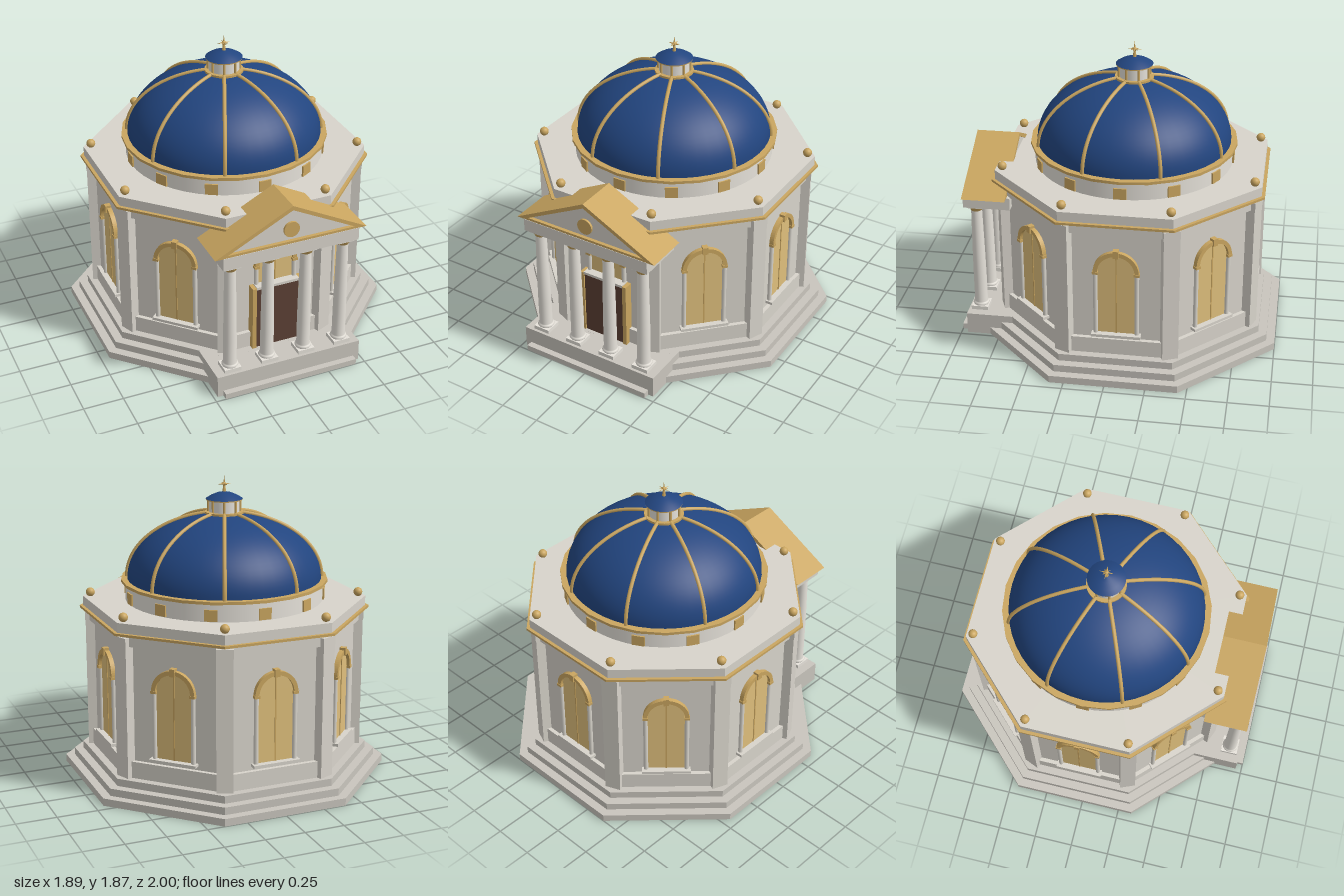
import * as THREE from 'three';
import { toCreasedNormals } from 'three/addons/utils/BufferGeometryUtils.js';

const mat = (name, color) => new THREE.MeshStandardMaterial({ name, color });
const CZ = -0.053; // centre of the octagonal hall
const WALL = 0.77; // wall apothem

export function createModel() {
  const stone = mat('stone', 0xd8d4cb);
  const paleStone = mat('paleStone', 0xe6e2da);
  const stepStone = mat('stepStone', 0xc9c5bd);
  const gold = mat('gold', 0xcaa660);
  const glass = mat('amberGlass', 0xdfbf7c);
  const blue = mat('domeBlue', 0x22457f);
  const wood = mat('doorWood', 0x5c4034);

  const model = new THREE.Group();
  model.name = 'domedHall';
  const group = (name, parent) => {
    const g = new THREE.Group();
    g.name = name;
    parent.add(g);
    return g;
  };
  const add = (parent, name, geo, material, x = 0, y = 0, z = 0) => {
    const m = new THREE.Mesh(geo, material);
    m.name = name;
    m.position.set(x, y, z);
    parent.add(m);
    return m;
  };
  const box = (parent, name, material, w, y0, y1, d, x, z) =>
    add(parent, name, new THREE.BoxGeometry(w, y1 - y0, d), material, x, (y0 + y1) / 2, z);
  const round = (parent, name, material, r0, r1, y0, y1, x = 0, z = 0, n = 32) =>
    add(parent, name, new THREE.CylinderGeometry(r1, r0, y1 - y0, n), material, x, (y0 + y1) / 2, z);
  const octagon = (parent, name, material, apothem, y0, y1) => {
    const r = apothem / Math.cos(Math.PI / 8);
    const g = new THREE.CylinderGeometry(r, r, y1 - y0, 8).rotateY(Math.PI / 8);
    return add(parent, name, toCreasedNormals(g, 0.5), material, 0, (y0 + y1) / 2, 0);
  };

  const hall = group('hall', model);
  hall.position.z = CZ;

  // Stepped base, walls and entablature
  [0.947, 0.895, 0.842].forEach((a, i) =>
    octagon(hall, 'baseStep', stepStone, a, i * 0.0467, (i + 1) * 0.0467));
  octagon(hall, 'walls', stone, WALL, 0.14, 0.97);
  octagon(hall, 'frieze', stone, 0.8, 0.965, 1.035);
  octagon(hall, 'cornice', gold, 0.84, 1.035, 1.05);
  octagon(hall, 'attic', stone, 0.82, 1.05, 1.11);

  // Arched window pane
  const paneShape = new THREE.Shape();
  paneShape.moveTo(-0.112, 0.285);
  paneShape.lineTo(0.112, 0.285);
  paneShape.lineTo(0.112, 0.71);
  paneShape.absarc(0, 0.71, 0.112, 0, Math.PI, false);
  paneShape.closePath();
  const paneGeo = new THREE.ExtrudeGeometry(paneShape, { depth: 0.008, bevelEnabled: false, curveSegments: 16 });
  // Flat arch moulding
  const archShape = new THREE.Shape();
  archShape.absarc(0, 0.71, 0.138, 0, Math.PI, false);
  archShape.absarc(0, 0.71, 0.112, Math.PI, 0, true);
  archShape.closePath();
  const archGeo = new THREE.ExtrudeGeometry(archShape, { depth: 0.03, bevelEnabled: false, curveSegments: 16 });

  for (let i = 0; i < 8; i++) {
    // One side of the hall, with its plinth and window
    const side = group('wallSide', hall);
    side.rotation.y = i * Math.PI / 4;
    box(side, 'plinth', stone, 0.66, 0.14, 0.245, 0.06, 0, WALL - 0.005);
    add(side, 'windowPane', paneGeo, glass, 0, 0, WALL);
    box(side, 'windowMullion', gold, 0.008, 0.285, 0.815, 0.006, 0, WALL + 0.009);
    add(side, 'windowArch', archGeo, gold, 0, 0, WALL - 0.002);
    box(side, 'keystone', gold, 0.034, 0.815, 0.862, 0.042, 0, WALL + 0.016);
    for (const s of [-1, 1]) {
      round(side, 'windowJamb', stone, 0.014, 0.014, 0.285, 0.695, s * 0.125, WALL + 0.012, 12);
      box(side, 'jambCapital', gold, 0.034, 0.695, 0.712, 0.034, s * 0.125, WALL + 0.014);
    }
    box(side, 'windowSill', stone, 0.3, 0.268, 0.286, 0.05, 0, WALL + 0.02);

    // Corner pilaster and roof ball
    const corner = group('corner', hall);
    corner.rotation.y = (i + 0.5) * Math.PI / 4;
    box(corner, 'pilaster', stone, 0.1, 0.14, 0.98, 0.1, 0, 0.82);
    box(corner, 'pilasterCapital', stone, 0.104, 0.965, 1.02, 0.1, 0, 0.823);
    add(corner, 'roofBall', new THREE.SphereGeometry(0.028, 16, 12), gold, 0, 1.135, 0.84);
  }

  // Drum with small windows
  round(hall, 'drum', paleStone, 0.62, 0.62, 1.11, 1.22, 0, 0, 48);
  round(hall, 'drumCornice', gold, 0.645, 0.645, 1.22, 1.238, 0, 0, 24);
  for (let i = 0; i < 12; i++) {
    const pivot = group('drumWindow', hall);
    pivot.rotation.y = i * Math.PI / 6;
    box(pivot, 'drumWindowPane', gold, 0.078, 1.115, 1.185, 0.02, 0, 0.618);
  }

  // Dome and ribs follow one elliptical profile
  const profile = (r, h) => Array.from({ length: 21 }, (_, i) => {
    const t = (i / 20) * 1.4;
    return new THREE.Vector2(r * Math.cos(t), 1.235 + h * Math.sin(t));
  });
  add(hall, 'dome', new THREE.LatheGeometry(profile(0.605, 0.41), 48), blue);
  const ribPath = new THREE.CatmullRomCurve3(
    profile(0.609, 0.414).map((p) => new THREE.Vector3(0, p.y, p.x)));
  const ribGeo = new THREE.TubeGeometry(ribPath, 28, 0.012, 8);
  for (let i = 0; i < 8; i++) {
    add(hall, 'domeRib', ribGeo, gold).rotation.y = (i + 0.5) * Math.PI / 4;
  }

  // Lantern
  const lantern = group('lantern', hall);
  round(lantern, 'lanternBase', gold, 0.12, 0.12, 1.632, 1.65);
  round(lantern, 'lanternDrum', paleStone, 0.095, 0.095, 1.65, 1.725);
  for (let i = 0; i < 8; i++) {
    const a = (i + 0.5) * Math.PI / 4;
    round(lantern, 'lanternPost', gold, 0.008, 0.008, 1.65, 1.725, 0.098 * Math.sin(a), 0.098 * Math.cos(a), 8);
  }
  round(lantern, 'lanternRing', gold, 0.113, 0.113, 1.722, 1.73);
  const cap = [[0.115, 1.729], [0.085, 1.748], [0.045, 1.765], [0, 1.775]];
  add(lantern, 'lanternCap', new THREE.LatheGeometry(cap.map(([x, y]) => new THREE.Vector2(x, y)), 32), blue);

  // Star finial: long upright and level spikes, short diagonal ones
  round(lantern, 'finialStem', gold, 0.012, 0.005, 1.77, 1.82, 0, 0, 10);
  const star = group('finialStar', lantern);
  star.position.y = 1.82;
  add(star, 'starCore', new THREE.SphereGeometry(0.013, 12, 8), gold);
  const spike = (len, rx, ry) => {
    const m = add(star, 'starSpike', new THREE.OctahedronGeometry(1), gold);
    m.scale.set(0.007, len, 0.007);
    m.rotation.set(rx, ry, 0, 'YXZ');
  };
  spike(0.052, 0, 0);
  for (let i = 0; i < 4; i++) spike(i % 2 ? 0.028 : 0.044, Math.PI / 2, i * Math.PI / 4);

  // Door in front of the lower part of the front window
  const door = group('door', model);
  const wallZ = WALL + CZ;
  box(door, 'doorLeaf', wood, 0.28, 0.14, 0.565, 0.04, 0, wallZ + 0.03);
  for (const s of [-1, 1]) box(door, 'doorFrame', gold, 0.026, 0.14, 0.575, 0.06, s * 0.153, wallZ + 0.03);
  box(door, 'doorLintel', stone, 0.28, 0.565, 0.582, 0.06, 0, wallZ + 0.03);

  // Porch floor and columns
  const porch = group('porch', model);
  box(porch, 'porchFloor', stepStone, 0.95, 0, 0.14, 0.3, 0, 0.81);
  box(porch, 'porchStep', stepStone, 0.876, 0, 0.036, 0.1, 0, 0.95);
  const shaft = [[0.047, 0.163], [0.052, 0.173], [0.047, 0.184], [0.041, 0.188], [0.041, 0.35],
    [0.039, 0.55], [0.034, 0.845]].map(([x, y]) => new THREE.Vector2(x, y));
  for (const x of [-0.365, -0.122, 0.122, 0.365]) {
    const column = group('column', porch);
    column.position.set(x, 0, 0.888);
    box(column, 'columnBase', paleStone, 0.108, 0.14, 0.165, 0.108, 0, 0);
    add(column, 'columnShaft', new THREE.LatheGeometry(shaft, 24), paleStone);
    round(column, 'columnCapital', gold, 0.036, 0.05, 0.845, 0.872, 0, 0, 24);
    box(column, 'columnAbacus', paleStone, 0.1, 0.872, 0.888, 0.1, 0, 0);
  }

  // Entablature and pediment
  box(porch, 'entablature', stone, 0.87, 0.887, 0.968, 0.295, 0, 0.807);
  const triangle = (Type, w, y0, y1) => {
    const t = new Type();
    t.moveTo(-w, y0);
    t.lineTo(w, y0);
    t.lineTo(0, y1);
    t.closePath();
    return t;
  };
  const roof = triangle(THREE.Shape, 0.485, 0.967, 1.217);
  roof.holes.push(triangle(THREE.Path, 0.405, 0.983, 1.189));
  add(porch, 'pedimentRoof', new THREE.ExtrudeGeometry(roof, { depth: 0.272, bevelEnabled: false }), gold, 0, 0, 0.68);
  const infill = triangle(THREE.Shape, 0.41, 0.98, 1.192);
  add(porch, 'pedimentInfill', new THREE.ExtrudeGeometry(infill, { depth: 0.24, bevelEnabled: false }), stone, 0, 0, 0.69);
  const disc = add(porch, 'pedimentDisc', new THREE.CylinderGeometry(0.05, 0.05, 0.016, 32), gold, 0, 1.055, 0.936);
  disc.rotation.x = Math.PI / 2;

  return model;
}
